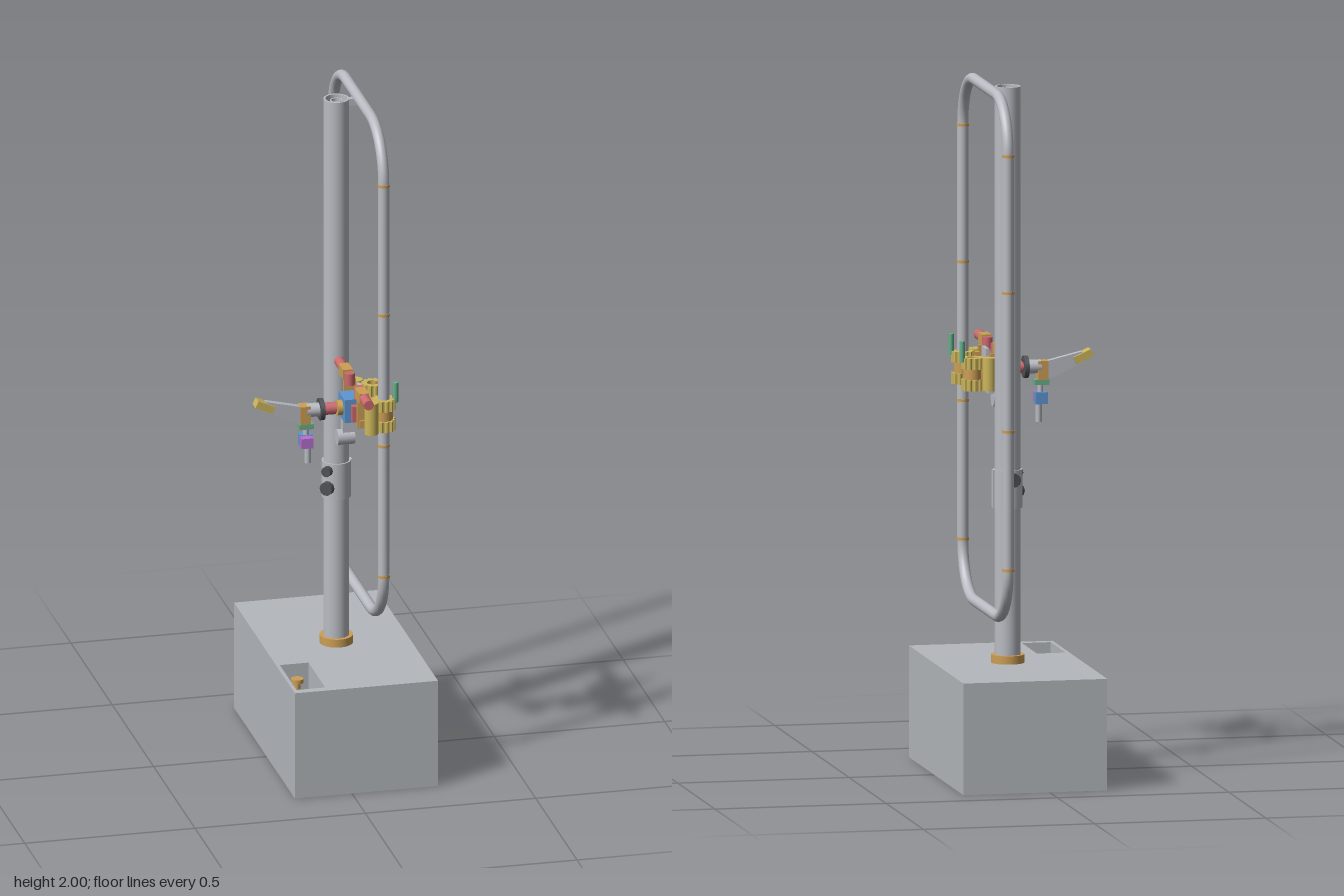
import * as THREE from 'three';

const mat = (name, color) => {
  const m = new THREE.MeshStandardMaterial({ color });
  m.name = name;
  return m;
};

export function createModel() {
  const root = new THREE.Group();
  root.name = 'railTestRig';
  const stone = mat('base grey', 0xb4b8bc), steel = mat('steel grey', 0xb9bcc3);
  const brass = mat('brass orange', 0xcc9f55), gold = mat('gold yellow', 0xccb65c);
  const red = mat('red', 0xcc6a6e), blue = mat('blue', 0x5d96d0);
  const green = mat('green', 0x66b08c), purple = mat('purple', 0xb66fd0);
  const dark = mat('dark rubber', 0x505357);

  const add = (name, geo, material, x = 0, y = 0, z = 0, parent = root) => {
    const m = new THREE.Mesh(geo, material);
    m.name = name;
    m.position.set(x, y, z);
    parent.add(m);
    return m;
  };
  // Box given by its min and max corners
  const box = (name, material, [x0, x1], [y0, y1], [z0, z1], parent) =>
    add(name, new THREE.BoxGeometry(x1 - x0, y1 - y0, z1 - z0), material,
      (x0 + x1) / 2, (y0 + y1) / 2, (z0 + z1) / 2, parent);
  // Cylinder along a chosen axis, centred on x, y, z
  const cyl = (name, material, r, len, axis, x, y, z, parent, sides = 24) => {
    const g = new THREE.CylinderGeometry(r, r, len, sides);
    if (axis === 'x') g.rotateZ(Math.PI / 2);
    if (axis === 'z') g.rotateX(Math.PI / 2);
    return add(name, g, material, x, y, z, parent);
  };
  const rect = (P, x0, x1, z0, z1) => {
    const p = new P();
    p.moveTo(x0, -z0); p.lineTo(x0, -z1); p.lineTo(x1, -z1); p.lineTo(x1, -z0);
    p.closePath();
    return p;
  };

  // Base block with a sunken tray
  const floor = 0.21, top = 0.322;
  box('baseBlock', stone, [-0.168, 0.252], [0, floor], [-0.395, 0.34]);
  const rim = rect(THREE.Shape, -0.168, 0.252, -0.395, 0.34);
  rim.holes.push(rect(THREE.Path, -0.157, -0.073, 0.114, 0.315));
  const rimGeo = new THREE.ExtrudeGeometry(rim, { depth: top - floor, bevelEnabled: false });
  rimGeo.rotateX(-Math.PI / 2);
  add('baseRim', rimGeo, stone, 0, floor, 0);
  box('trayPlate', green, [-0.157, -0.073], [floor, floor + 0.012], [0.114, 0.315]);
  for (const z of [0.15, 0.278]) {
    cyl('trayPost', brass, 0.009, 0.07, 'y', -0.115, 0.25, z);
    cyl('trayButton', brass, 0.018, 0.012, 'y', -0.115, 0.285, z);
  }

  // Hollow column with foot collar and inner pipe
  const cx = 0.043, cz = -0.028;
  const ring = (name, material, ri, ro, y0, y1) => add(name, new THREE.LatheGeometry(
    [[ri, y0], [ro, y0], [ro, y0], [ro, y1], [ro, y1], [ri, y1], [ri, y1], [ri, y0]]
      .map(([a, b]) => new THREE.Vector2(a, b)), 40), material, cx, 0, cz);
  ring('columnTube', steel, 0.031, 0.037, top, 1.985);
  ring('innerPipe', steel, 0.014, 0.018, top, 1.98);
  cyl('columnPlug', steel, 0.031, 0.01, 'y', cx, 1.95, cz);
  ring('footCollar', brass, 0.035, 0.048, top, 0.346);
  ring('slidingSleeve', steel, 0.036, 0.042, 0.77, 0.88);

  // Sleeve clamping knobs
  const knob = (angle, y, r) => {
    const g = new THREE.Group();
    g.name = 'sleeveKnob';
    g.position.set(cx, y, cz);
    g.rotation.y = angle;
    root.add(g);
    cyl('knobStem', dark, 0.007, 0.03, 'x', 0.045, 0, 0, g);
    cyl('knobHead', dark, r, 0.016, 'x', 0.057, 0, 0, g, 10);
  };
  knob(-Math.PI * 0.73, 0.81, 0.02);
  knob(-Math.PI * 0.73, 0.862, 0.015);
  knob(Math.PI * 0.53, 0.855, 0.02);

  // Rounded rail loop standing in the y-z plane
  const loop = new THREE.Group();
  loop.name = 'railLoop';
  loop.position.set(0.107, 1.232, -0.024);
  loop.rotation.y = -Math.PI / 2;
  root.add(loop);
  const w = 0.306, h = 0.752, r = 0.155, tr = 0.016;
  for (const s of [-1, 1]) {
    cyl('railUpright', steel, tr, 2 * (h - r), 'y', s * w, 0, 0, loop);
    cyl('railCrossbar', steel, tr, 2 * (w - r), 'x', 0, s * h, 0, loop);
    for (const y of [1.83, 1.435, 1.035, 0.635])
      cyl('railBand', brass, tr + 0.0015, 0.008, 'y', s * w, y - 1.232, 0, loop);
  }
  [[1, 1], [-1, 1], [-1, -1], [1, -1]].forEach(([sx, sy], i) => {
    const bend = add('railBend', new THREE.TorusGeometry(r, tr, 16, 16, Math.PI / 2),
      steel, sx * (w - r), sy * (h - r), 0, loop);
    bend.rotation.z = i * Math.PI / 2;
  });
  for (const y of [1.972, 0.825])
    box('railBracket', steel, [0.074, y > 1 ? 0.1 : 0.088], y > 1 ? [1.962, 1.982] : [0.77, 0.88], [-0.037, -0.019]);

  // Toothed roller profile
  const gear = new THREE.Shape();
  for (let i = 0; i < 48; i++) {
    const a = i / 48 * Math.PI * 2, q = i % 4 < 2 ? 0.034 : 0.029;
    gear[i ? 'lineTo' : 'moveTo'](Math.cos(a) * q, Math.sin(a) * q);
  }
  gear.closePath();
  gear.holes.push(new THREE.Path().absarc(0, 0, 0.0165, 0, Math.PI * 2, true));
  const gearGeo = new THREE.ExtrudeGeometry(gear, { depth: 0.032, bevelEnabled: false, curveSegments: 16 });
  gearGeo.rotateX(-Math.PI / 2);

  // Two mirrored clamp drives about the carriage centre
  const mid = 0.215;
  for (const s of [-1, 1]) {
    const z = d => mid + s * d;
    const span = (a, b) => [Math.min(z(a), z(b)), Math.max(z(a), z(b))];
    const g = new THREE.Group();
    g.name = 'clampDrive';
    root.add(g);
    const gz = s > 0 ? 0.281 : 0.15;
    for (const y of [1.083, 1.145]) add('toothedRoller', gearGeo, gold, 0.107, y, gz, g);
    const core = new THREE.CylinderGeometry(0.026, 0.026, 0.034, 24, 1, true);
    add('rollerCore', core, brass, 0.107, 1.13, gz, g);
    box('clampJaw', brass, [0.062, 0.085], [1.085, 1.175], span(0.045, 0.085), g);
    cyl('clampHinge', gold, 0.02, 0.095, 'y', 0.064, 1.132, z(0.095), g);
    box('motorMount', brass, [0.021, 0.05], [1.19, 1.22], span(0.07, 0.125), g);
    box('motorBracket', brass, [0.025, 0.06], [1.1, 1.19], span(0.075, 0.088), g);
    cyl('motor', red, 0.0145, 0.057, 'z', 0.036, 1.205, z(0.1525), g);
    cyl('motorPivot', red, 0.015, 0.035, 'y', 0.037, 1.198, z(0.057), g);
    cyl('sensorPin', green, 0.008, 0.06, 'y', 0.14, 1.196, gz - s * 0.011 + (s > 0 ? 0.018 : -0.022), g);
    box('pinArm', brass, [0.115, 0.14], [1.165, 1.177], span(0.068, 0.078), g);
  }

  // Carriage body
  box('carriageBody', blue, [0, 0.05], [1.1, 1.17], [0.178, 0.252]);
  box('carriagePlate', steel, [0.05, 0.06], [1.082, 1.195], [0.186, 0.248]);
  box('carriageCrossbar', brass, [0.03, 0.062], [1.105, 1.125], [0.12, 0.31]);
  for (const z of [0.168, 0.262]) box('sideServo', red, [0.018, 0.05], [1.108, 1.155], [z - 0.01, z + 0.01]);
  cyl('underCylinder', steel, 0.023, 0.05, 'x', 0.01, 1.045, mid);
  box('underBracket', steel, [0.0, 0.05], [1.062, 1.1], [0.2, 0.23]);

  // Wrist reaching sideways from the carriage
  cyl('wristFlange', brass, 0.022, 0.016, 'x', -0.007, 1.135, mid);
  cyl('wristMotor', red, 0.0125, 0.04, 'x', -0.037, 1.135, mid);
  cyl('wristMotorCase', red, 0.018, 0.03, 'x', -0.035, 1.135, mid);
  cyl('wristDisc', dark, 0.032, 0.013, 'x', -0.061, 1.135, mid);
  cyl('wristBody', steel, 0.02, 0.04, 'x', -0.085, 1.135, mid);

  // Tapered arm and angled tip
  const arm = new THREE.Shape([[-0.09, 1.115], [-0.09, 1.15], [-0.12, 1.15], [-0.225, 1.175], [-0.23, 1.145], [-0.135, 1.1]]
    .map(([x, y]) => new THREE.Vector2(x, y)).reverse());
  add('armPlate', new THREE.ExtrudeGeometry(arm, { depth: 0.02, bevelEnabled: false }), steel, 0, 0, 0.205);
  const tip = add('armTip', new THREE.BoxGeometry(0.055, 0.022, 0.036), gold, -0.228, 1.161, mid);
  tip.rotation.z = -0.42;
  box('armJoint', brass, [-0.125, -0.095], [1.098, 1.152], [0.197, 0.233]);

  // Hanging tool
  box('toolPlate', green, [-0.128, -0.086], [1.083, 1.098], [0.199, 0.233]);
  cyl('toolStem', steel, 0.008, 0.03, 'y', -0.105, 1.07, mid);
  box('toolServo', purple, [-0.126, -0.09], [1.03, 1.06], [0.222, 0.247]);
  box('toolHousing', blue, [-0.124, -0.088], [1.028, 1.062], [0.197, 0.222]);
  cyl('toolProbe', steel, 0.009, 0.055, 'y', -0.1, 1.003, mid);

  return root;
}
